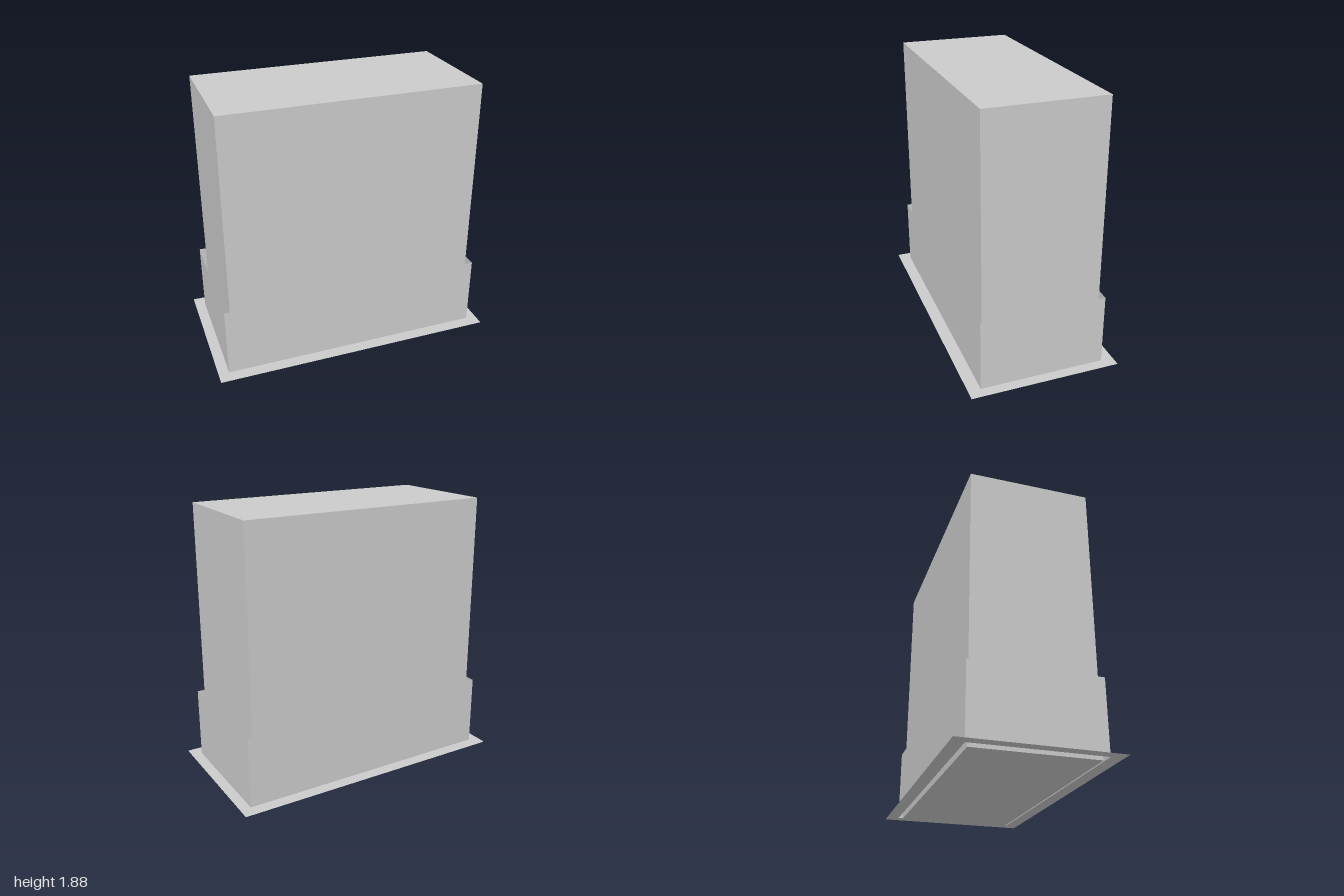
import * as THREE from 'three';

const solid = new THREE.MeshStandardMaterial({ color: 0xcccccc });
const sheet = new THREE.MeshStandardMaterial({ color: 0xcccccc, side: THREE.DoubleSide });

// Half sizes of the parts in x and z
const BODY = [0.883, 0.409], COLLAR = [0.926, 0.434], FLANGE = [1, 0.521];
const BODY_TOP = 1.875, COLLAR_BOTTOM = 0.01, COLLAR_TOP = 0.51;

function rectangle([x, z], PathType) {
  return new PathType([[-x, -z], [x, -z], [x, z], [-x, z]].map(p => new THREE.Vector2(...p)));
}

export function createModel() {
  const model = new THREE.Group();
  model.name = 'boxWithCollar';

  // Tall closed box
  const body = new THREE.Mesh(new THREE.BoxGeometry(BODY[0] * 2, BODY_TOP, BODY[1] * 2), solid);
  body.name = 'body';
  body.position.y = BODY_TOP / 2;
  model.add(body);

  // Open sleeve of four thin walls around the base, clear of the body
  const collar = new THREE.Group();
  collar.name = 'collar';
  const height = COLLAR_TOP - COLLAR_BOTTOM;
  ['front', 'left', 'back', 'right'].forEach((side, i) => {
    const [halfWidth, distance] = i % 2 ? [COLLAR[1], COLLAR[0]] : COLLAR;
    const geometry = new THREE.PlaneGeometry(halfWidth * 2, height);
    geometry.translate(0, (COLLAR_TOP + COLLAR_BOTTOM) / 2, distance);
    const wall = new THREE.Mesh(geometry, sheet);
    wall.name = side + 'CollarWall';
    wall.rotation.y = i * Math.PI / 2;
    collar.add(wall);
  });
  model.add(collar);

  // Flat rim spreading outward from the foot of the collar
  const outline = rectangle(FLANGE, THREE.Shape);
  outline.holes.push(rectangle(COLLAR, THREE.Path));
  const flange = new THREE.Mesh(new THREE.ShapeGeometry(outline), sheet);
  flange.name = 'flange';
  flange.rotation.x = -Math.PI / 2;
  flange.position.y = COLLAR_BOTTOM;
  model.add(flange);

  return model;
}
